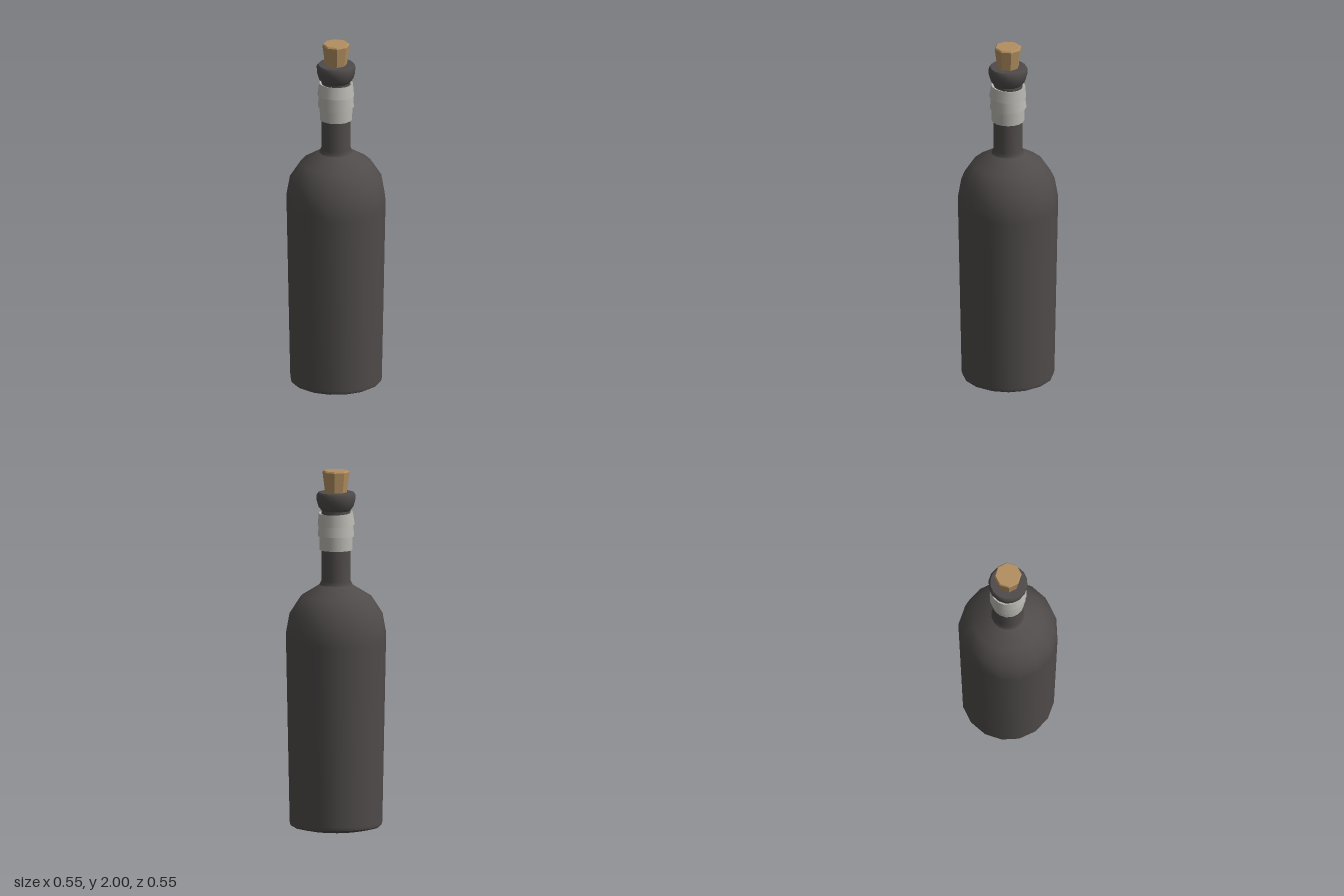
import * as THREE from 'three';

const mat = (name, color, extra = {}) => {
  const m = new THREE.MeshStandardMaterial({ color, ...extra });
  m.name = name;
  return m;
};

export function createModel() {
  const bottle = new THREE.Group();
  bottle.name = 'bottle';
  const glass = mat('dark glass', 0x4f4b4a);
  const tape = mat('pale wrap', 0xb9b8b2, { side: THREE.DoubleSide });
  const corkMat = mat('cork', 0xb28f60, { flatShading: true });

  // Turned part from [radius, height] pairs, bottom to top
  const turned = (name, profile, sides, material) => {
    const points = profile.map(([r, y]) => new THREE.Vector2(r, y));
    const mesh = new THREE.Mesh(new THREE.LatheGeometry(points, sides), material);
    mesh.name = name;
    bottle.add(mesh);
    return mesh;
  };

  // Body with slightly rounded base, tapered side and domed shoulder
  turned('base', [[0, 0.005], [0.16, 0.008], [0.235, 0.024], [0.25, 0.032]], 16, glass);
  turned('body', [
    [0.25, 0.032], [0.255, 0.05], [0.264, 0.5], [0.275, 1.05], [0.274, 1.11],
    [0.256, 1.21], [0.194, 1.305], [0.092, 1.367],
  ], 16, glass);
  turned('neck', [[0.092, 1.367], [0.081, 1.39], [0.08, 1.77], [0.076, 1.785]], 16, glass);

  // Lip: rounded collar and flat rim
  turned('lip', [
    [0.07, 1.776], [0.078, 1.778], [0.096, 1.8], [0.106, 1.835], [0.108, 1.865], [0.098, 1.88],
  ], 16, glass);
  turned('rim', [[0.098, 1.88], [0.04, 1.88]], 16, glass);

  // Overlapping bands wound around the neck, each a little tilted
  const bands = [
    [1.56, 1.65, 0.09, 0.091, 0, 0],
    [1.635, 1.71, 0.1, 0.095, 0.04, 0.03],
    [1.7, 1.768, 0.102, 0.094, -0.03, -0.05],
  ];
  bands.forEach(([y0, y1, r0, r1, tiltX, tiltZ], i) => {
    const h = (y1 - y0) / 2;
    const band = turned('wrapBand' + (i + 1),
      [[0.079, -h], [r0, -h], [r0, -h], [r1, h], [r1, h], [0.079, h - 0.004]], 16, tape);
    band.position.y = (y0 + y1) / 2;
    band.rotation.set(tiltX, 0, tiltZ);
  });

  // Eight-sided cork with a narrow bevel
  const cork = turned('cork',
    [[0.058, 1.86], [0.075, 1.992], [0.069, 2], [0, 2]], 8, corkMat);
  cork.rotation.y = 0.22;

  return bottle;
}
